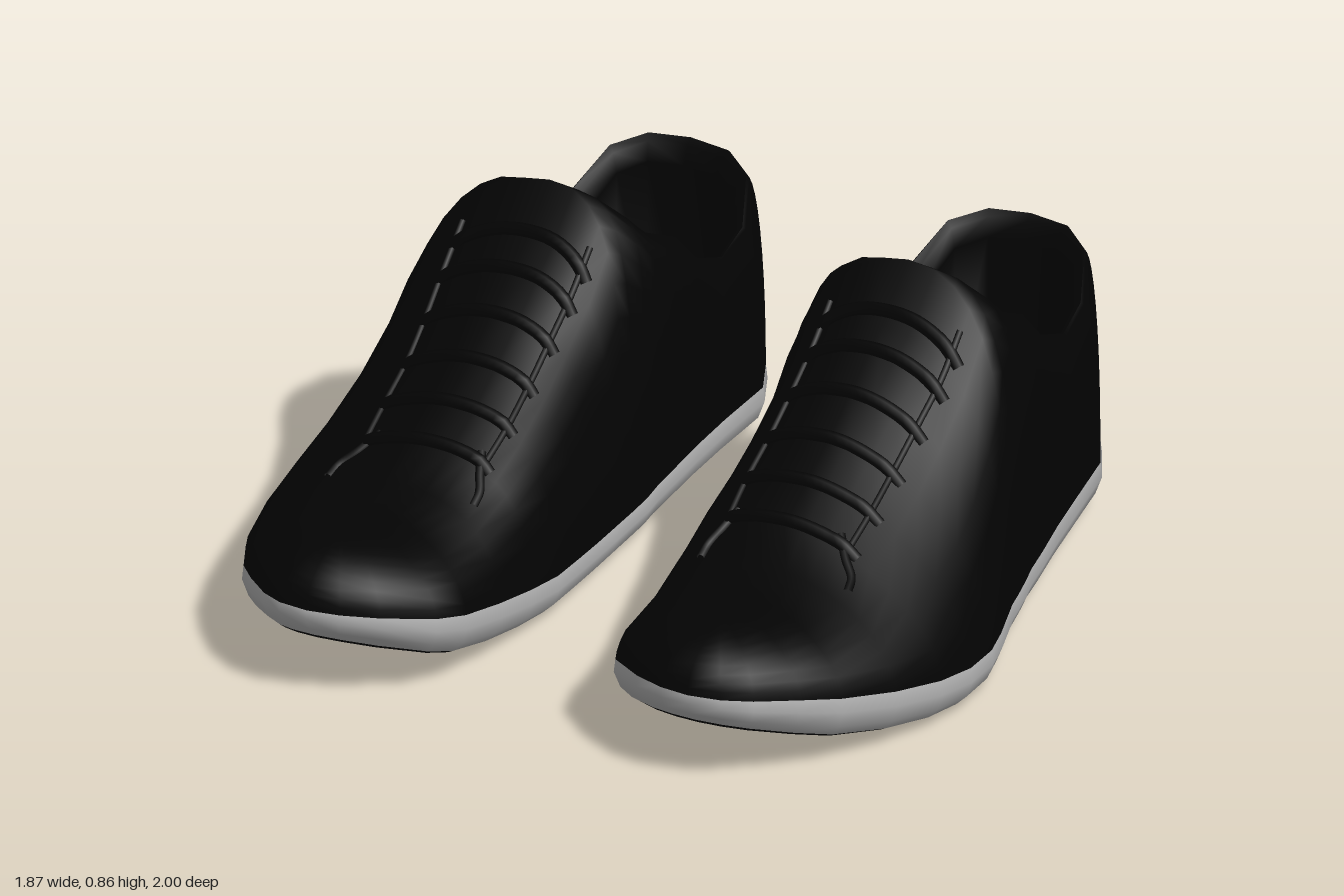
import * as THREE from 'three';
import { mergeVertices } from 'three/addons/utils/BufferGeometryUtils.js';

const black = new THREE.MeshStandardMaterial({ color: 0x030303, side: THREE.DoubleSide });
black.name = 'black';
const grey = new THREE.MeshStandardMaterial({ color: 0xb8b8b8, side: THREE.DoubleSide });
grey.name = 'soleGrey';

// footprint, heel to toe: z, inner x, outer x
const outline = [
  [-0.995, 0.45, 0.45], [-0.977, 0.33, 0.56], [-0.905, 0.235, 0.66], [-0.79, 0.185, 0.718],
  [-0.6, 0.19, 0.75], [-0.45, 0.19, 0.775], [-0.32, 0.187, 0.8], [-0.23, 0.185, 0.815],
  [-0.17, 0.18, 0.83], [-0.1, 0.18, 0.845], [-0.05, 0.18, 0.855], [0, 0.18, 0.87],
  [0.1, 0.18, 0.9], [0.2, 0.178, 0.925], [0.32, 0.175, 0.93], [0.45, 0.18, 0.915],
  [0.6, 0.19, 0.87], [0.75, 0.205, 0.8], [0.84, 0.24, 0.735], [0.93, 0.345, 0.655],
  [0.975, 0.43, 0.59], [0.992, 0.51, 0.51],
];
// collar rim (first eleven), then the ridge over tongue and toe: z, y, inner x, outer x
const topLine = [
  [-0.943, 0.668, 0.455, 0.455], [-0.927, 0.665, 0.35, 0.56], [-0.87, 0.64, 0.27, 0.635],
  [-0.76, 0.56, 0.225, 0.68], [-0.63, 0.54, 0.215, 0.7], [-0.49, 0.6, 0.21, 0.71],
  [-0.38, 0.705, 0.215, 0.715], [-0.305, 0.74, 0.255, 0.695], [-0.275, 0.795, 0.32, 0.635],
  [-0.25, 0.845, 0.41, 0.55], [-0.24, 0.86, 0.48, 0.48], [-0.1, 0.745, 0.48, 0.48],
  [0.05, 0.65, 0.48, 0.48], [0.17, 0.575, 0.48, 0.48], [0.3, 0.505, 0.48, 0.48],
  [0.42, 0.44, 0.48, 0.48], [0.52, 0.378, 0.485, 0.485], [0.63, 0.36, 0.49, 0.49],
  [0.72, 0.365, 0.495, 0.495], [0.79, 0.37, 0.5, 0.5], [0.81, 0.37, 0.505, 0.505],
  [0.82, 0.37, 0.51, 0.51],
];
const RIM_ROWS = 11;
// sole band: z, bottom y, top y
const band = [
  [-1, 0.04, 0.125], [-0.9, 0.02, 0.13], [-0.5, 0.016, 0.125], [-0.1, 0.01, 0.108],
  [0.1, 0.006, 0.107], [0.3, 0.01, 0.115], [0.5, 0.035, 0.145], [0.7, 0.075, 0.185],
  [0.85, 0.125, 0.22], [1, 0.185, 0.25],
];

const { lerp, smoothstep, clamp } = THREE.MathUtils;

function bandY(z, col) {
  let i = 0;
  while (i < band.length - 2 && z > band[i + 1][0]) i++;
  const t = clamp((z - band[i][0]) / (band[i + 1][0] - band[i][0]), 0, 1);
  return lerp(band[i][col], band[i + 1][col], t);
}

function rowAt(table, u) {
  const i = Math.min(Math.floor(u), table.length - 2);
  return table[i].map((v, k) => lerp(v, table[i + 1][k], u - i));
}

// roundness of the wall: below 1 is boxy, above 1 leans in
function roundness(z, side) {
  const heel = smoothstep(-z, 0.2, 0.6);
  if (!side) return lerp(0.78, 1, Math.max(heel, smoothstep(z, 0.3, 0.85)));
  const lean = 0.18 * (smoothstep(z, 0, 0.25) - smoothstep(z, 0.4, 0.75));
  return lerp(0.85, 1, Math.max(heel, smoothstep(z, -0.1, 0.15))) + lean;
}

// point on the upper; side 1 = outer, 0 = inner; t = 0 at the sole, 1 at the top
function upperPoint(u, side, t) {
  const [z, ...xs] = rowAt(outline, u);
  const [tz, ty, ...txs] = rowAt(topLine, u);
  const p = roundness(z, side);
  const a = t * Math.PI / 2;
  const c = t === 1 ? 0 : Math.cos(a) ** p;
  const y0 = bandY(z, 2);
  const sweep = 1 + smoothstep(z, -0.4, -0.1) - smoothstep(z, 0.5, 0.8);
  return new THREE.Vector3(
    lerp(txs[side], xs[side], c), lerp(y0, ty, Math.sin(a) ** p), lerp(tz, z, c ** sweep));
}

// closed ring: outer side heel to front, inner side back to heel
function ring(rows, point) {
  const pts = [];
  for (let i = 0; i < rows; i++) pts.push(point(i, 1));
  for (let i = rows - 2; i > 0; i--) pts.push(point(i, 0));
  return pts;
}

// move a ring inwards by d
function inset(pts, d) {
  const n = pts.length;
  return pts.map((p, i) => {
    const t = pts[(i + 1) % n].clone().sub(pts[(i + n - 1) % n]).setY(0).normalize();
    return new THREE.Vector3(p.x - t.z * d, p.y, p.z + t.x * d);
  });
}

// skin over rings, with an optional cap on the first (down) or last (up) ring
function loft(rings, cap) {
  const n = rings[0].length, index = [];
  for (let r = 0; r < rings.length - 1; r++) {
    for (let i = 0; i < n; i++) {
      const a = r * n + i, b = r * n + (i + 1) % n;
      index.push(a, a + n, b, b, a + n, b + n);
    }
  }
  if (cap) {
    const o = cap === 'up' ? (rings.length - 1) * n : 0;
    for (let i = 0; i < n / 2; i++) {
      const a = o + i, b = o + i + 1, c = o + n - i - 1, d = o + (n - i) % n;
      const tris = i === 0 ? [[a, b, c]] : i === n / 2 - 1 ? [[a, b, d]] : [[a, b, c], [a, c, d]];
      for (const [p, q, s] of tris) index.push(...(cap === 'up' ? [p, s, q] : [p, q, s]));
    }
  }
  const g = new THREE.BufferGeometry().setFromPoints(rings.flat());
  g.setIndex(index);
  const merged = mergeVertices(g, 1e-4);
  merged.computeVertexNormals();
  return merged;
}

function tube(pts, radius) {
  return new THREE.TubeGeometry(new THREE.CatmullRomCurve3(pts), 20, radius, 6);
}

// reflect in x and keep faces pointing outwards
function mirrored(geometry) {
  const g = geometry.clone().scale(-1, 1, 1);
  const ix = g.index.array;
  for (let i = 0; i < ix.length; i += 3) [ix[i], ix[i + 1]] = [ix[i + 1], ix[i]];
  return g;
}

function buildShoe(name, isRight) {
  const shoe = new THREE.Group();
  shoe.name = name;
  const add = (partName, geometry, material) => {
    const mesh = new THREE.Mesh(isRight ? mirrored(geometry) : geometry, material);
    mesh.name = partName;
    shoe.add(mesh);
  };

  // sole
  const foot = ring(outline.length, (i, s) => new THREE.Vector3(outline[i][1 + s], 0, outline[i][0]));
  const soleRing = (d, t, drop = 0) => inset(foot, d).map((p) =>
    p.setY(Math.max(0, lerp(bandY(p.z, 1), bandY(p.z, 2), t) - drop)));
  add('soleBand', loft([soleRing(0.04, 0), soleRing(0.012, 0.25), soleRing(-0.004, 0.65), soleRing(0, 1)]), grey);
  add('outsole', loft([soleRing(0.055, 0, 0.007), soleRing(0.04, 0)], 'down'), black);

  // upper
  const levels = 10, rings = [];
  for (let k = 0; k <= levels; k++) {
    rings.push(ring(outline.length, (i, s) => upperPoint(i, s, k / levels)));
  }
  add('upper', loft(rings), black);

  // padded collar, lining and footbed
  const rim = ring(RIM_ROWS, (i, s) => upperPoint(i, s, 1));
  const lower = (d, y) => inset(rim, d).map((p) => p.setY(p.y - y));
  const padding = lower(0.036, 0.06);
  const floor = inset(rim, 0.03).map((p) => {
    p.z += 0.4 * smoothstep(p.z, -0.6, -0.25);
    return p.setY(0.17);
  });
  add('lining', loft([rim, lower(0.018, 0.014), padding, floor], 'up'), black);

  // pale patch under the right tongue, arched above a level lower edge
  if (isRight) {
    const patchRow = (height) => [8, 9, 10, 11, 12].map((i) => {
      const { y } = padding[i];
      const p = padding[i].clone().lerp(floor[i], Math.max(0, (y - height) / (y - 0.17)));
      p.z -= 0.006;
      return p;
    });
    const patch = new THREE.PlaneGeometry(1, 1, 4, 1).setFromPoints([...patchRow(1), ...patchRow(0.7)]);
    patch.computeVertexNormals();
    add('tongueLining', patch, grey);
  }

  // laces across the throat
  for (const u of [10.8, 11.4, 12.15, 13.1, 14, 14.9]) {
    const pts = [];
    for (let k = -5; k <= 5; k++) {
      const p = upperPoint(u, k > 0 ? 1 : 0, 1 - 0.066 * Math.abs(k));
      p.y += Math.abs(k) === 5 ? -0.01 : 0.005;
      pts.push(p);
    }
    add('lace', tube(pts, 0.017), black);
  }
  for (const side of [0, 1]) {
    // raised edge of the lace facing
    const edge = [10.4, 11.2, 12, 13, 14, 15].map((u) => upperPoint(u, side, 0.71));
    add('facingEdge', tube(edge, 0.009), black);
    // loose lace end
    const end = [[14.7, 0.76], [15.1, 0.7], [15.4, 0.64], [15.7, 0.62]].map(([u, t]) => upperPoint(u, side, t));
    add('laceEnd', tube(end, 0.012), black);
  }
  return shoe;
}

export function createModel() {
  const model = new THREE.Group();
  model.name = 'pairOfShoes';
  model.add(buildShoe('leftShoe', false), buildShoe('rightShoe', true));
  return model;
}
